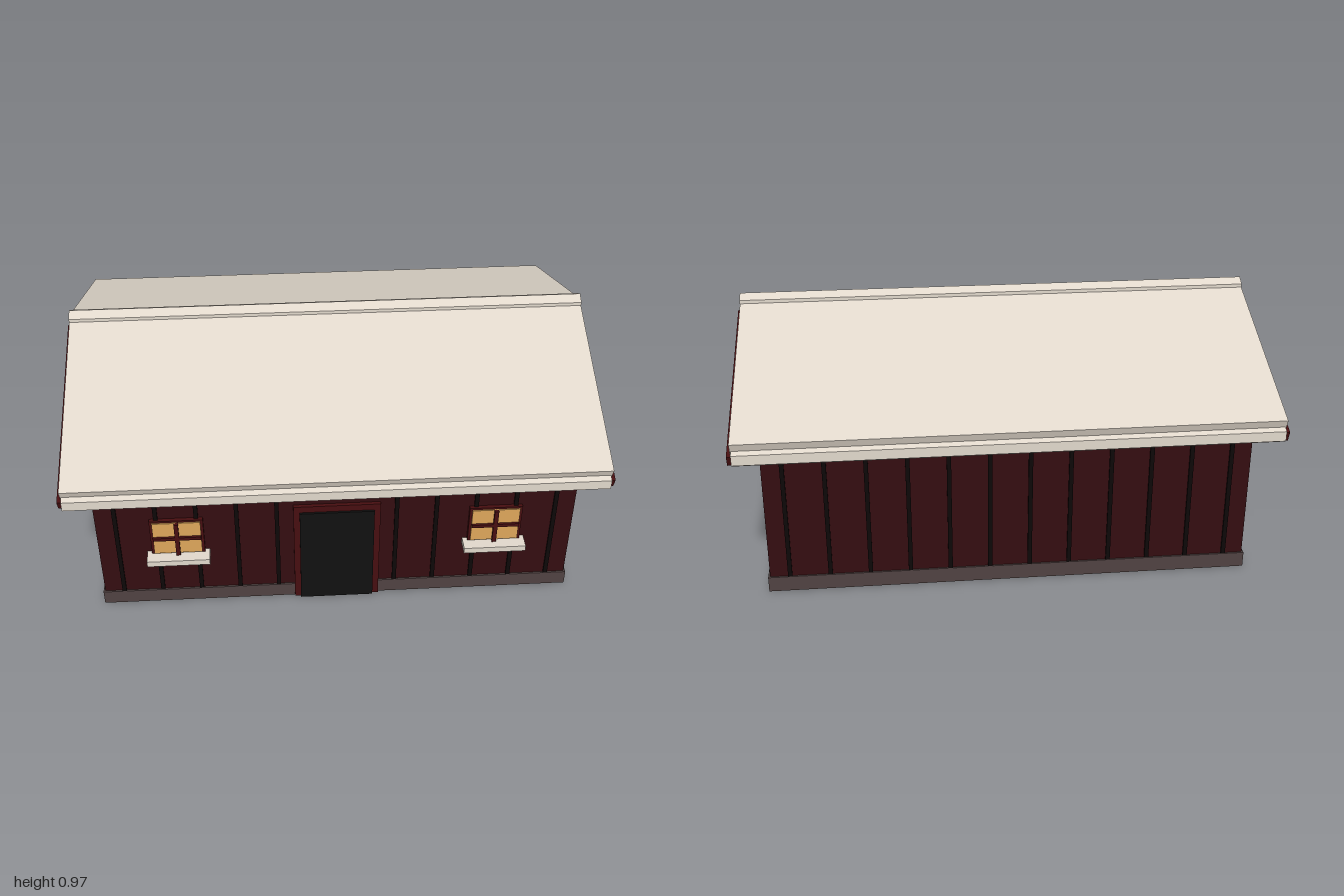
import * as THREE from 'three';

const material = (name, color) => Object.assign(new THREE.MeshStandardMaterial({ color }), { name });

export function createModel() {
  const wallRed = material('wall red', 0x340d10);
  const trimRed = material('trim red', 0x460e10);
  const roofCream = material('roof cream', 0xe0d7cb);
  const stone = material('foundation grey', 0x504241);
  const battenBlack = material('batten black', 0x0d0808);
  const doorBlack = material('door black', 0x101010);
  const glass = material('lit glass', 0xdca55a);

  const house = new THREE.Group();
  house.name = 'house';

  const add = (name, geometry, mat, parent = house) => {
    const mesh = new THREE.Mesh(geometry, mat);
    mesh.name = name;
    parent.add(mesh);
    return mesh;
  };
  // Box given by its lower and upper limits on each axis
  const box = (name, mat, [x0, x1], [y0, y1], [z0, z1], parent) => {
    const g = new THREE.BoxGeometry(x1 - x0, y1 - y0, z1 - z0);
    g.translate((x0 + x1) / 2, (y0 + y1) / 2, (z0 + z1) / 2);
    return add(name, g, mat, parent);
  };
  // (z, y) outline extruded along x between x0 and x1
  const profile = (name, mat, points, x0, x1) => {
    const shape = new THREE.Shape(points.map(([z, y]) => new THREE.Vector2(z, y)));
    const g = new THREE.ExtrudeGeometry(shape, { depth: x1 - x0, bevelEnabled: false });
    g.rotateY(-Math.PI / 2).translate(x1, 0, 0);
    return add(name, g, mat);
  };

  // Walls with gables, and the foundation band
  profile('walls', wallRed, [[-0.6, 0.01], [0.6, 0.01], [0.6, 0.6], [0, 0.87], [-0.6, 0.6]], -0.9, 0.9);
  box('foundation', stone, [-0.907, 0.907], [0, 0.06], [-0.607, 0.607]);

  // Vertical battens on the two long walls, leaving out the doorway
  for (const side of [1, -1]) {
    for (let i = 0; i < 12; i++) {
      const x = -0.825 + i * 0.15;
      if (side === 1 && Math.abs(x) < 0.1) continue;
      const z = side === 1 ? [0.595, 0.607] : [-0.607, -0.595];
      box('batten', battenBlack, [x - 0.008, x + 0.008], [0.06, 0.615], z);
    }
  }

  // Roof halves: deck, covering, eave edge and barge boards
  const board = [[0, 0.9], [0.705, 0.622], [0.69, 0.582], [0, 0.858]];
  const covering = [[0, 0.9], [0.692, 0.627], [0.71, 0.671], [0, 0.951]];
  const eave = [[0.694, 0.642], [0.718, 0.632], [0.718, 0.594], [0.692, 0.579], [0.68, 0.6]];
  for (const side of [1, -1]) {
    const flip = (points) => points.map(([z, y]) => [z * side, y]);
    profile('roofDeck', trimRed, flip(board), -0.98, 0.98);
    profile('roofCovering', roofCream, flip(covering), -0.987, 0.987);
    profile('eaveEdge', roofCream, flip(eave), -0.983, 0.983);
    profile('bargeBoard', trimRed, flip(board), 0.98, 1);
    profile('bargeBoard', trimRed, flip(board), -1, -0.98);
  }
  profile('ridgeCap', roofCream,
    [[0, 0.97], [-0.034, 0.951], [-0.034, 0.925], [0, 0.898], [0.034, 0.925], [0.034, 0.951]], -0.988, 0.988);

  // Door and its frame
  box('doorFrame', trimRed, [-0.163, 0.163], [0, 0.47], [0.59, 0.614]);
  box('door', doorBlack, [-0.14, 0.14], [0, 0.442], [0.6, 0.622]);

  // Two windows, each with four panes and a sill
  for (const x of [-0.6, 0.6]) {
    const win = new THREE.Group();
    win.name = 'window';
    win.position.x = x;
    house.add(win);
    box('windowFrame', trimRed, [-0.1, 0.1], [0.26, 0.428], [0.6, 0.615], win);
    box('glass', glass, [-0.09, 0.09], [0.27, 0.42], [0.61, 0.62], win);
    box('uprightBar', trimRed, [-0.008, 0.008], [0.265, 0.42], [0.61, 0.63], win);
    box('crossBar', trimRed, [-0.09, 0.09], [0.34, 0.354], [0.61, 0.629], win);
    box('sill', roofCream, [-0.118, 0.118], [0.24, 0.265], [0.6, 0.66], win);
  }
  return house;
}
